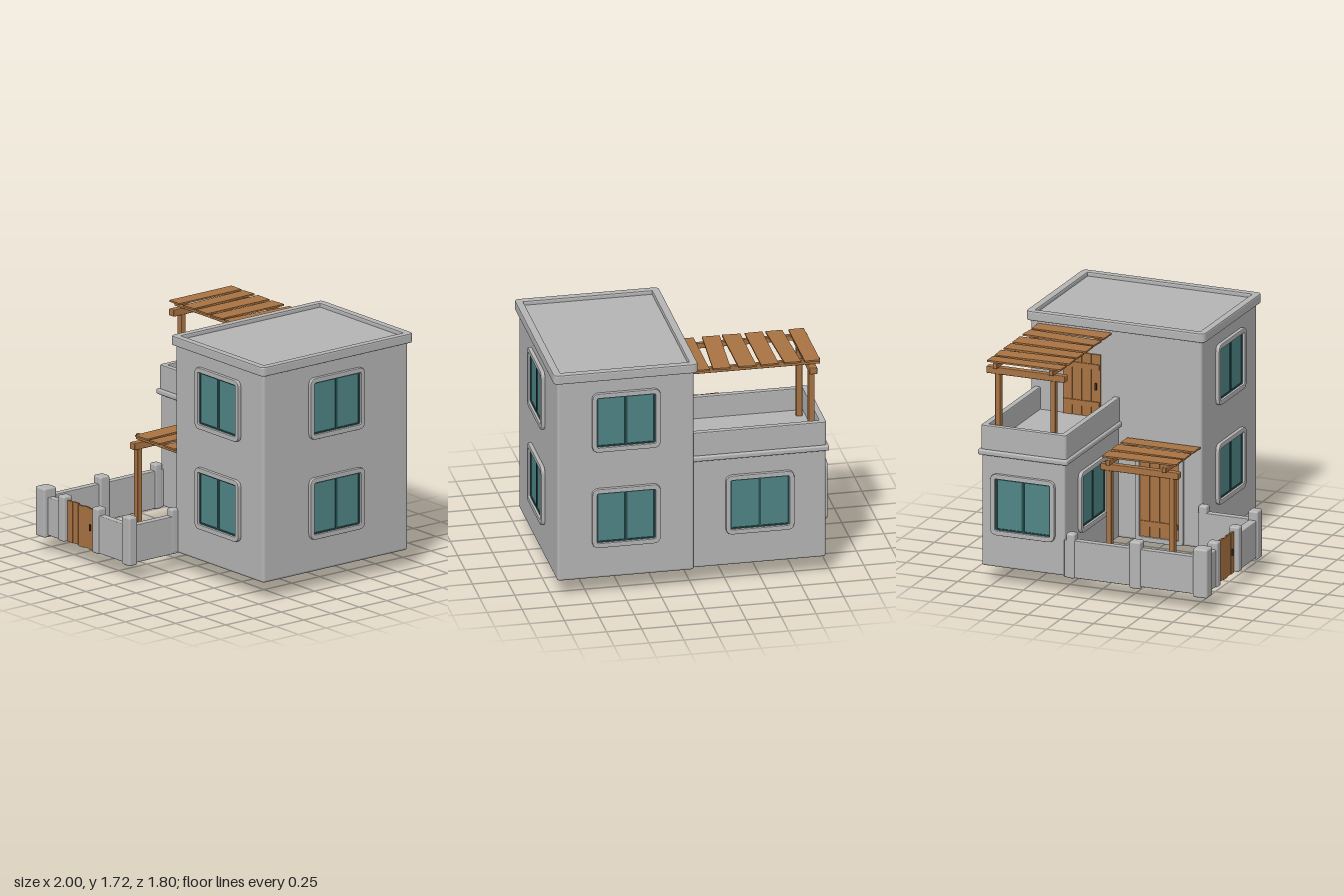
import * as THREE from 'three';
import { RoundedBoxGeometry } from 'three/addons/geometries/RoundedBoxGeometry.js';

const mat = (name, color) => new THREE.MeshStandardMaterial({ name, color });

export function createModel() {
  const root = new THREE.Group();
  root.name = 'house';
  const plaster = mat('grey plaster', 0xb4b4b4);
  const wood = mat('brown wood', 0xa87342);
  const glass = mat('teal glass', 0x4f8485);
  const sash = mat('dark teal sash', 0x24504e);
  const dark = mat('dark iron', 0x3a2a1c);

  const add = (parent, name, geo, material) => {
    const m = new THREE.Mesh(geo, material);
    m.name = name;
    parent.add(m);
    return m;
  };
  const group = (name, parent = root) => {
    const g = new THREE.Group();
    g.name = name;
    parent.add(g);
    return g;
  };
  // box given by its limits on each axis, rounded when r > 0
  const box = (parent, name, material, [x0, x1], [y0, y1], [z0, z1], r = 0) => {
    const s = [x1 - x0, y1 - y0, z1 - z0];
    const geo = r ? new RoundedBoxGeometry(...s, 2, r) : new THREE.BoxGeometry(...s);
    const m = add(parent, name, geo, material);
    m.position.set((x0 + x1) / 2, (y0 + y1) / 2, (z0 + z1) / 2);
    return m;
  };
  // rounded rectangle outline centred on the origin
  const roundRect = (w, h, r, P = THREE.Shape) => {
    const s = new P(), a = w / 2, b = h / 2;
    s.moveTo(-a + r, -b);
    s.lineTo(a - r, -b).quadraticCurveTo(a, -b, a, -b + r);
    s.lineTo(a, b - r).quadraticCurveTo(a, b, a - r, b);
    s.lineTo(-a + r, b).quadraticCurveTo(-a, b, -a, b - r);
    s.lineTo(-a, -b + r).quadraticCurveTo(-a, -b, -a + r, -b);
    return s;
  };
  // bevelled frame, back on z = 0, facing +z
  const frameGeo = (w, h, t, depth, r, bevel) => {
    const s = roundRect(w - 2 * bevel, h - 2 * bevel, r);
    s.holes.push(roundRect(w - 2 * t + 2 * bevel, h - 2 * t + 2 * bevel, r * 0.4, THREE.Path));
    return new THREE.ExtrudeGeometry(s, {
      depth: depth - 2 * bevel, bevelThickness: bevel, bevelSize: bevel, bevelSegments: 2, curveSegments: 5,
    }).translate(0, 0, bevel);
  };
  // horizontal ring wall, rising from y0 to y1
  const ring = (name, [x0, x1], [y0, y1], [z0, z1], t, r, bevel) => {
    const geo = frameGeo(x1 - x0, z1 - z0, t, y1 - y0, r, bevel).rotateX(-Math.PI / 2);
    add(root, name, geo, plaster).position.set((x0 + x1) / 2, y0, (z0 + z1) / 2);
  };

  // main block with roof rim
  box(root, 'mainBlock', plaster, [-0.01, 0.97], [0.13, 1.69], [-0.87, 0.435], 0.02);
  ring('roofRim', [-0.035, 1], [1.65, 1.72], [-0.9, 0.465], 0.057, 0.03, 0.01);

  // side wing with ledge and terrace parapet
  box(root, 'sideWing', plaster, [-0.96, 0.03], [0.13, 1.0], [-0.835, -0.2], 0.015);
  box(root, 'wingLedge', plaster, [-0.982, 0.02], [0.948, 0.988], [-0.857, -0.175], 0.012);
  ring('terraceParapet', [-0.965, 0.04], [0.985, 1.165], [-0.84, -0.19], 0.045, 0.015, 0.007);

  // windows
  const makeWindow = (x, y, z, angle) => {
    const g = group('window');
    g.position.set(x, y, z);
    g.rotation.y = angle;
    add(g, 'windowFrame', frameGeo(0.49, 0.45, 0.036, 0.03, 0.045, 0.006), plaster);
    box(g, 'windowGlass', glass, [-0.21, 0.21], [-0.19, 0.19], [-0.004, 0.005]);
    for (const px of [-0.207, 0, 0.207]) box(g, 'sashBar', sash, [px - 0.009, px + 0.009], [-0.19, 0.19], [0, 0.012]);
    for (const py of [-0.187, 0.187]) box(g, 'sashRail', sash, [-0.21, 0.21], [py - 0.008, py + 0.008], [0, 0.012]);
  };
  for (const y of [0.597, 1.329]) {
    makeWindow(0.48, y, 0.435, 0);
    makeWindow(0.48, y, -0.87, Math.PI);
    makeWindow(0.97, y, -0.215, Math.PI / 2);
  }
  makeWindow(-0.485, 0.597, -0.2, 0);
  makeWindow(-0.485, 0.597, -0.835, Math.PI);
  makeWindow(-0.96, 0.597, -0.515, -Math.PI / 2);

  // plank doors on the inner wall of the main block
  const makeDoor = (name, y0, y1, z, w) => {
    const g = group(name), n = 4, p = w / n;
    for (let i = 0; i < n; i++) {
      const a = z - w / 2 + i * p;
      box(g, 'doorPlank', wood, [-0.022, -0.005], [y0, y1], [a + 0.002, a + p - 0.002]);
    }
    for (const f of [0.2, 0.8]) {
      const y = y0 + (y1 - y0) * f;
      box(g, 'doorBrace', wood, [-0.03, -0.01], [y - 0.02, y + 0.02], [z - w / 2 + 0.01, z + w / 2 - 0.01]);
    }
    box(g, 'doorHandle', dark, [-0.034, -0.02], [y0 + 0.2, y0 + 0.25], [z + w / 2 - 0.04, z + w / 2 - 0.028]);
    return g;
  };
  makeDoor('terraceDoor', 1.0, 1.46, -0.475, 0.29);
  const porchDoor = makeDoor('porchDoor', 0.14, 0.77, 0.12, 0.3);
  const surround = add(porchDoor, 'doorSurround', frameGeo(0.37, 0.67, 0.036, 0.027, 0.03, 0.006), plaster);
  surround.rotation.y = -Math.PI / 2;
  surround.position.set(-0.01, 0.468, 0.12);

  // underside of the porch floor
  const porch = add(root, 'porchUnderside', new THREE.PlaneGeometry(0.33, 0.55).rotateX(Math.PI / 2), plaster);
  porch.position.set(-0.17, 0.132, 0.085);

  // pergolas: posts, cross beam, rafters and loose slats [centre x, width, tilt]
  const makePergola = (name, { x, posts, rafters, foot, top, x0, beam, slatZ, slats }) => {
    const g = group(name);
    for (const z of posts) {
      box(g, 'pergolaPost', wood, [x - 0.022, x + 0.022], [foot, top - 0.04], [z - 0.02, z + 0.02], 0.005);
    }
    box(g, 'pergolaBeam', wood, [x - 0.027, x + 0.027], [top - 0.05, top], beam, 0.006);
    for (const z of rafters) box(g, 'pergolaRafter', wood, [x0, 0], [top, top + 0.04], [z - 0.016, z + 0.016], 0.005);
    slats.forEach(([cx, w, tilt], i) => {
      const m = box(g, 'pergolaSlat', wood, [cx - w / 2, cx + w / 2], [top + 0.04, top + 0.052], slatZ);
      m.rotation.set(0, tilt, i % 2 ? 0.02 : -0.01);
    });
  };
  makePergola('terracePergola', {
    x: -0.875, posts: [-0.74, -0.32], rafters: [-0.745, -0.318], foot: 0.99, top: 1.58, x0: -0.935,
    beam: [-0.825, -0.227], slatZ: [-0.81, -0.25],
    slats: [[-0.87, 0.11, 0], [-0.72, 0.12, 0.035], [-0.565, 0.125, 0], [-0.405, 0.13, 0], [-0.24, 0.125, -0.07], [-0.075, 0.12, 0]],
  });
  makePergola('porchPergola', {
    x: -0.46, posts: [0.408, -0.07], rafters: [0.365, -0.063], foot: 0, top: 0.83, x0: -0.52,
    beam: [-0.135, 0.46], slatZ: [-0.125, 0.432],
    slats: [[-0.405, 0.13, 0.03], [-0.25, 0.12, 0], [-0.085, 0.12, 0]],
  });

  // garden wall
  const yard = group('gardenWall');
  const panel = (xs, zs) => box(yard, 'wallPanel', plaster, xs, [0.13, 0.405], zs, 0.006);
  panel([-0.978, -0.922], [-0.2, 0.84]);
  panel([-0.95, -0.73], [0.812, 0.87]);
  panel([-0.36, -0.015], [0.812, 0.87]);
  panel([-0.043, 0.015], [0.42, 0.84]);
  // wall posts [x, z, width x, width z, bottom, top]
  for (const [x, z, w, d, y0, y1] of [
    [-0.947, 0.845, 0.105, 0.11, 0.113, 0.473], [-0.014, 0.845, 0.09, 0.075, 0.117, 0.473],
    [-0.737, 0.843, 0.072, 0.078, 0.125, 0.457], [-0.357, 0.843, 0.072, 0.078, 0.125, 0.457],
    [-0.947, 0.343, 0.085, 0.085, 0.113, 0.46], [-0.95, -0.15, 0.07, 0.065, 0.125, 0.455],
    [-0.014, 0.455, 0.062, 0.065, 0.135, 0.457],
  ]) box(yard, 'wallPost', plaster, [x - w / 2, x + w / 2], [y0, y1], [z - d / 2, z + d / 2], 0.014);

  // plank gate
  const gate = group('gate');
  for (let i = 0; i < 5; i++) {
    const x = -0.7 + i * 0.0602, dy = [0, 0.004, -0.004, 0.002, -0.002][i];
    box(gate, 'gatePlank', wood, [x + 0.001, x + 0.059], [0.127 + dy, 0.428 + dy], [0.834, 0.85]);
  }
  for (const y of [0.19, 0.36]) box(gate, 'gateRail', wood, [-0.7, -0.4], [y - 0.018, y + 0.018], [0.82, 0.836]);
  box(gate, 'gateHandle', dark, [-0.446, -0.438], [0.265, 0.31], [0.85, 0.862]);

  return root;
}
